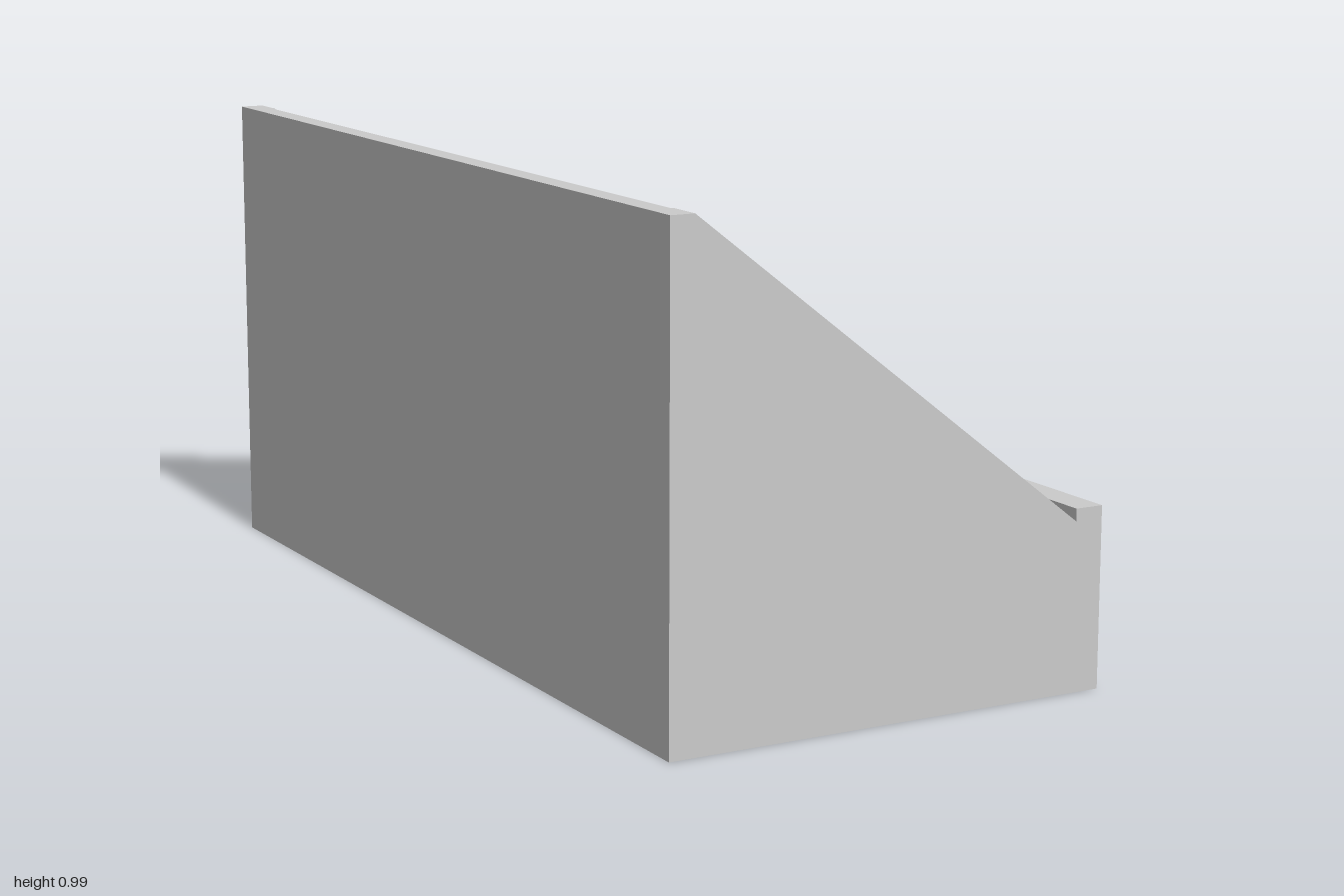
import * as THREE from 'three';

const material = new THREE.MeshStandardMaterial({ color: 0xcccccc, flatShading: true });
const INNER = 0.925; // half length between the end panels

// Extrudes an (x, y) outline along z between z0 and z1.
function board(name, points, z0 = -INNER, z1 = INNER) {
  const shape = new THREE.Shape(points.map(([x, y]) => new THREE.Vector2(x, y)));
  const geometry = new THREE.ExtrudeGeometry(shape, { depth: z1 - z0, bevelEnabled: false });
  geometry.translate(0, 0, z0);
  const mesh = new THREE.Mesh(geometry, material);
  mesh.name = name;
  return mesh;
}

export function createModel() {
  const group = new THREE.Group();
  group.name = 'steppedDisplayBox';

  // Sloping end panels with a small notch behind the front board
  const end = [
    [-0.475, 0], [0.475, 0], [0.475, 0.365], [0.415, 0.365],
    [0.415, 0.34], [-0.425, 0.99], [-0.475, 0.99],
  ];
  group.add(board('leftEndPanel', end, INNER, 1));
  group.add(board('rightEndPanel', end, -1, -INNER));

  // Back board, its inner face leaning slightly
  group.add(board('backBoard', [[-0.475, 0], [-0.37, 0], [-0.37, 0.37], [-0.43, 0.99], [-0.475, 0.99]]));

  // Front board and floor
  group.add(board('frontBoard', [[0.415, 0], [0.475, 0], [0.475, 0.365], [0.415, 0.365]]));
  group.add(board('floor', [[-0.37, 0], [0.415, 0], [0.415, 0.05], [-0.37, 0.05]]));

  // Three shelves: [back x, back y, front x, front y]
  const shelves = [
    [-0.412, 0.793, -0.205, 0.79],
    [-0.394, 0.605, 0.07, 0.576],
    [-0.371, 0.375, 0.415, 0.32],
  ];
  shelves.forEach(([xb, yb, xf, yf], i) => {
    const t = 0.05;
    group.add(board(`shelf${i + 1}`, [[xb, yb - t], [xf, yf - t], [xf, yf], [xb, yb]]));
  });

  // Battens along the front edges of the two upper shelves: [x0, x1, top]
  [[-0.205, -0.18, 0.79], [0.07, 0.105, 0.576]].forEach(([x0, x1, top], i) => {
    group.add(board(`shelfLip${i + 1}`, [[x0, top - 0.06], [x1, top - 0.06], [x1, top], [x0, top]]));
  });

  return group;
}
